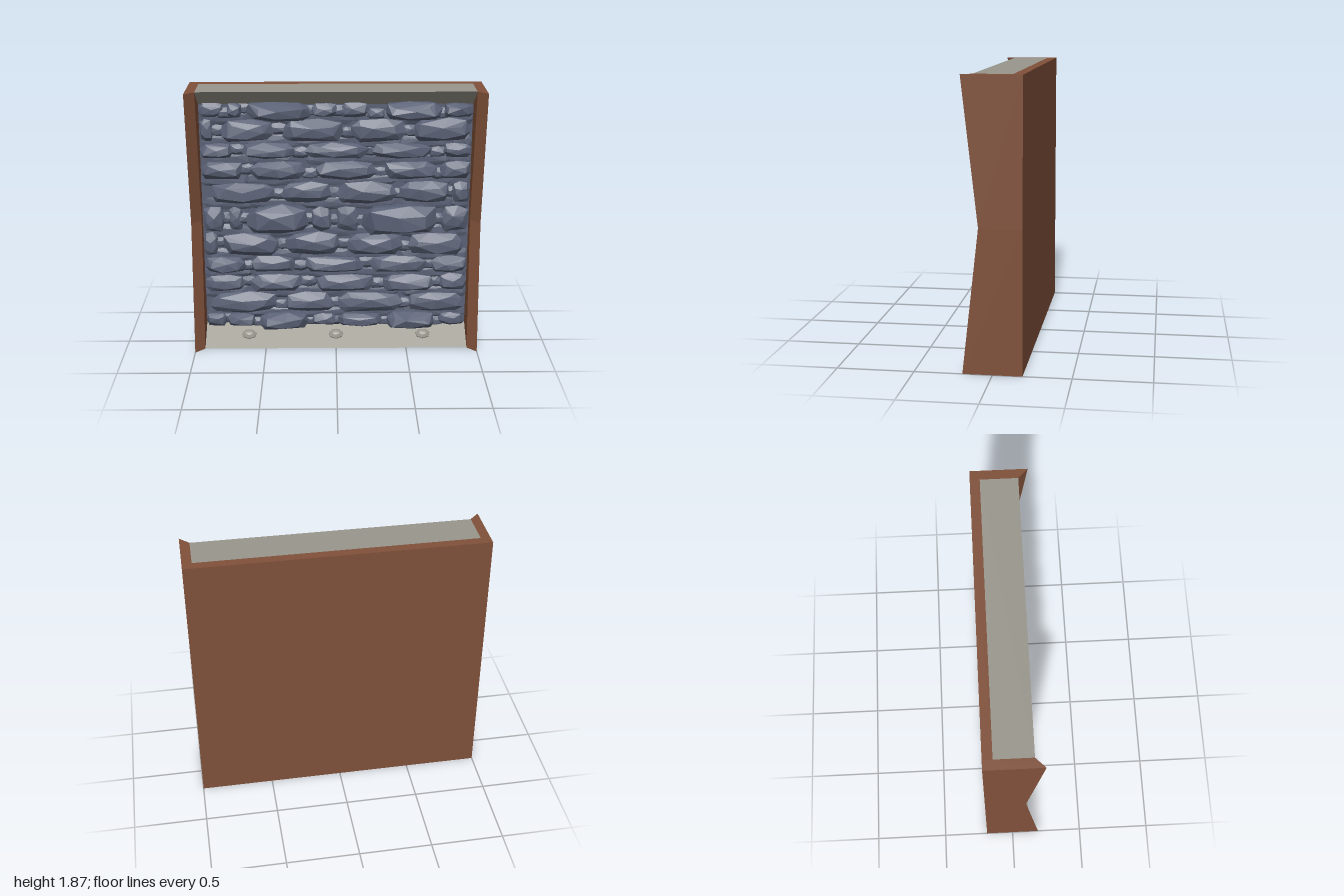
import * as THREE from 'three';
import { ConvexGeometry } from 'three/addons/geometries/ConvexGeometry.js';

const W = 0.935, H = 1.87, WALL_Z = -0.06;

// seeded random numbers in the range -1..1
let seed = 7;
const rnd = () => {
  seed = (seed * 16807) % 2147483647;
  return (seed / 2147483647) * 2 - 1;
};

// moves the vertices of a box by a rule and gives it flat normals
function reshape(geometry, rule) {
  const g = geometry.toNonIndexed(), p = g.attributes.position;
  const v = new THREE.Vector3();
  for (let i = 0; i < p.count; i++) {
    v.fromBufferAttribute(p, i);
    rule(v);
    p.setXYZ(i, v.x, v.y, v.z);
  }
  g.computeVertexNormals();
  return g;
}

// faceted stone: a boxy outline with cut corners rising to a ridge below its middle
function stoneGeometry(x0, x1, y0, y1, front) {
  const w = (x1 - x0) / 2, h = (y1 - y0) / 2, cx = (x0 + x1) / 2, cy = (y0 + y1) / 2;
  const depth = front - WALL_Z, pts = [];
  const add = (u, v, z) => pts.push(new THREE.Vector3(
    THREE.MathUtils.clamp(cx + u * w, -W, W), cy + v * h, z));
  const outline = [[-1, -0.45], [-0.78, -0.95], [0.1, -1], [0.8, -0.85],
    [1, -0.2], [0.9, 0.75], [0.2, 1], [-0.7, 0.85], [-1, 0.3]];
  const flip = rnd() > 0 ? 1 : -1;
  for (const [a, b] of outline) {
    const u = flip * a + rnd() * 0.06, v = b + rnd() * 0.1;
    add(u * 0.95, v * 0.95, -0.11);
    add(u, v, WALL_Z + depth * (0.42 + rnd() * 0.14));
  }
  // front facets
  for (const [a, b, t] of [[-0.72, -0.45, 0.85], [0.1, -0.55, 0.95], [0.7, -0.3, 0.9],
    [0.65, 0.4, 0.78], [-0.1, 0.25, 0.98], [-0.65, 0.5, 0.75]]) {
    add(flip * a + rnd() * 0.14, b + rnd() * 0.18, WALL_Z + depth * (t + rnd() * 0.06));
  }
  return new ConvexGeometry(pts);
}

// stone courses from top to bottom: lower and upper edge, then the ends of each stone
const courses = [
  [1.66, 1.76, [-0.93, -0.76, -0.74, -0.64, -0.62, -0.17, -0.16, 0.01, 0.03, 0.22, 0.33, 0.72, 0.73, 0.93]],
  [1.49, 1.65, [-0.93, -0.84, -0.78, -0.43, -0.36, 0.05, 0.11, 0.48, 0.53, 0.92]],
  [1.37, 1.48, [-0.93, -0.71, -0.65, -0.28, -0.21, 0.22, 0.25, 0.65, 0.74, 0.93]],
  [1.22, 1.35, [-0.93, -0.64, -0.59, -0.21, -0.14, 0.28, 0.33, 0.69, 0.72, 0.93]],
  [1.05, 1.20, [-0.87, -0.42, -0.37, -0.04, 0.01, 0.42, 0.45, 0.79, 0.81, 0.93]],
  [0.84, 1.02, [-0.93, -0.78, -0.75, -0.65, -0.62, -0.20, -0.17, -0.03, 0.0, 0.16, 0.18, 0.72, 0.74, 0.93]],
  [0.66, 0.83, [-0.93, -0.83, -0.80, -0.41, -0.35, 0.03, 0.09, 0.47, 0.51, 0.90]],
  [0.53, 0.65, [-0.93, -0.64, -0.60, -0.28, -0.22, 0.20, 0.24, 0.64, 0.68, 0.93]],
  [0.38, 0.51, [-0.93, -0.65, -0.60, -0.25, -0.14, 0.28, 0.33, 0.69, 0.74, 0.93]],
  [0.22, 0.37, [-0.90, -0.42, -0.37, -0.02, 0.02, 0.48, 0.51, 0.92]],
  [0.11, 0.21, [-0.93, -0.79, -0.78, -0.58, -0.55, -0.19, -0.17, 0.0, 0.01, 0.33, 0.36, 0.71, 0.74, 0.93]],
];

export function createModel() {
  seed = 7;
  const wood = new THREE.MeshStandardMaterial({ color: 0x80513a });
  wood.name = 'brown wood';
  const plaster = new THREE.MeshStandardMaterial({ color: 0x98968c });
  plaster.name = 'pale grey';
  const slate = new THREE.MeshStandardMaterial({ color: 0x596074 });
  slate.name = 'blue slate';

  const model = new THREE.Group();
  model.name = 'stoneWallPanel';
  const add = (name, geometry, material, x, y, z, parent = model) => {
    const mesh = new THREE.Mesh(geometry, material);
    mesh.name = name;
    mesh.position.set(x, y, z);
    parent.add(mesh);
    return mesh;
  };

  // wooden back and side posts, pinched at mid height, with a bevelled front
  add('backPanel', new THREE.BoxGeometry(2 * W, H, 0.065), wood, 0, H / 2, -0.1575);
  for (const side of [1, -1]) {
    const post = reshape(new THREE.BoxGeometry(0.065, H, 0.38, 1, 2, 1), (v) => {
      if (v.z < 0) return;
      const inner = v.x * side < 0;
      v.z = 0.085 + 0.105 * Math.abs(v.y) / (H / 2) - (inner ? 0.065 : 0);
    });
    add(side > 0 ? 'leftPost' : 'rightPost', post, wood, side * 0.9675, H / 2, 0);
  }

  // sloped sill below and lintel above
  for (const side of [1, -1]) {
    const wedge = reshape(new THREE.BoxGeometry(2 * W, 0.125, 0.25), (v) => {
      if (v.z > 0 && v.y * side > 0) v.z = WALL_Z;
    });
    add(side > 0 ? 'sill' : 'lintel', wedge, plaster, 0, side > 0 ? 0.0625 : H - 0.0625, 0);
  }

  // faceted pebbles on the sill
  const pebbleProfile = [[0.055, -0.01], [0.052, 0.008], [0.028, 0.024], [0, 0.028]]
    .map(([r, y]) => new THREE.Vector2(r, y));
  const pebble = reshape(new THREE.LatheGeometry(pebbleProfile, 7), (v) => { v.z *= 0.75; });
  for (const x of [-0.625, 0, 0.625]) {
    add('sillPebble', pebble, plaster, x, 0.065, 0.029).rotation.x = 0.594;
  }

  // stone wall
  const wall = new THREE.Group();
  wall.name = 'stoneWall';
  model.add(wall);
  add('wallBacking', new THREE.BoxGeometry(2 * W, H - 0.25, 0.065), slate, 0, H / 2, -0.0925, wall);
  const stone = (name, x0, x1, y0, y1, front) =>
    add(name, stoneGeometry(x0, x1, y0, y1, front), slate, 0, 0, 0, wall);

  courses.forEach(([y0, y1, ends], row) => {
    const tall = row % 5 === 0;
    for (let i = 0; i < ends.length; i += 2) {
      const a = ends[i], b = ends[i + 1];
      const large = tall && b - a > 0.33;
      if (large) stone('largeStone', a, b, y0 - 0.015, y1 + 0.015, 0.075);
      else stone('stone', a, b, y0, y1, 0.025 + rnd() * 0.015 - (b - a < 0.2 ? 0.025 : 0));
      // chips filling the upright joints
      if (i + 2 < ends.length) {
        const c = (b + ends[i + 2]) / 2, m = (y0 + y1) / 2 + rnd() * 0.02;
        stone('chip', c - 0.06, c + 0.06, m - 0.05, m + 0.03, -0.025 + rnd() * 0.01);
      }
    }
    // low stones filling the joint under each course
    if (row < courses.length - 1) {
      for (let x = -W; x < W - 0.1; x += 0.34) {
        const s = rnd() * 0.04;
        stone('jointStone', x + s, Math.min(x + s + 0.36, W), y0 - 0.055, y0 + 0.045, -0.035 + rnd() * 0.01);
      }
    }
  });
  return model;
}
